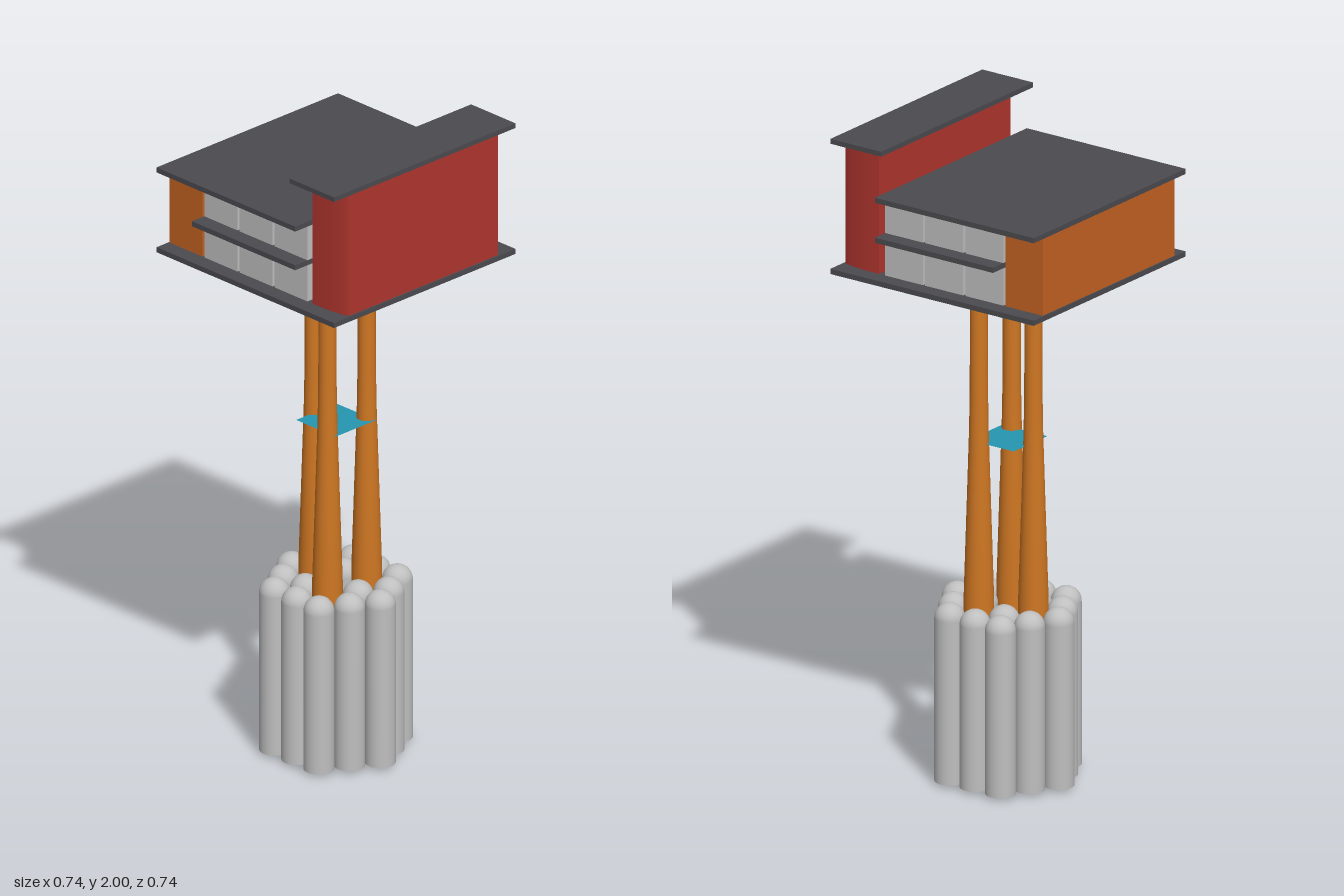
import * as THREE from 'three';

const mat = (name, color, extra = {}) => {
  const m = new THREE.MeshStandardMaterial({ color, ...extra });
  m.name = name;
  return m;
};

export function createModel() {
  const model = new THREE.Group();
  model.name = 'stiltHouse';

  const dark = mat('darkSlab', 0x4b4b50);
  const grey = mat('paleGrey', 0xbfbfbf);
  const wood = mat('stiltOrange', 0xcf7723);
  const wall = mat('wallOrange', 0xc46222);
  const red = mat('towerRed', 0xb0352e);
  const blue = mat('plateBlue', 0x2596b0, { side: THREE.DoubleSide });

  const add = (name, geometry, material, parent = model) => {
    const mesh = new THREE.Mesh(geometry, material);
    mesh.name = name;
    parent.add(mesh);
    return mesh;
  };
  // Box given by its limits on each axis, symmetric in z
  const block = (name, x0, x1, y0, y1, halfZ, material, parent) => {
    const mesh = add(name, new THREE.BoxGeometry(x1 - x0, y1 - y0, 2 * halfZ), material, parent);
    mesh.position.set((x0 + x1) / 2, (y0 + y1) / 2, 0);
    return mesh;
  };
  const group = (name) => {
    const g = new THREE.Group();
    g.name = name;
    model.add(g);
    return g;
  };

  // Hexagonal cluster: pitch in x, row spacing in z
  const P = 0.0924, R = 0.0455, ROW = 0.08, BASE = 0.01;
  const outer = [];
  for (const s of [-1, 1]) {
    outer.push([s * 2 * P, 0]);
    for (const t of [-1, 1]) outer.push([s * 1.5 * P, t * ROW]);
    for (const k of [-1, 0, 1]) outer.push([k * P, s * 2 * ROW]);
  }
  const innerPosts = [[P, 0], [-P / 2, ROW], [-P / 2, -ROW]];
  const stiltSpots = [[-P, 0], [P / 2, ROW], [P / 2, -ROW]];

  // Round-topped base columns
  const columnProfile = [new THREE.Vector2(R, BASE)];
  for (let i = 0; i <= 8; i++) {
    const a = (i / 8) * Math.PI / 2;
    columnProfile.push(new THREE.Vector2(i === 8 ? 0 : R * Math.cos(a), 0.515 + R * Math.sin(a)));
  }
  const columnGeo = new THREE.LatheGeometry(columnProfile, 24);
  const capGeo = new THREE.CircleGeometry(R, 24).rotateX(Math.PI / 2);
  const columns = group('baseColumns');
  for (const [x, z] of [...outer, ...innerPosts]) {
    add('column', columnGeo, grey, columns).position.set(x, 0, z);
    add('columnFoot', capGeo, grey, columns).position.set(x, BASE, z);
  }

  // Tapered stilts, straight in the upper half
  const stiltGeo = new THREE.LatheGeometry(
    [[R, BASE], [0.045, 0.56], [0.036, 0.85], [0.029, 1.08], [0.027, 1.2], [0.026, 1.585]]
      .map(([r, y]) => new THREE.Vector2(r, y)), 24);
  const stilts = group('stilts');
  for (const [x, z] of stiltSpots) {
    add('stilt', stiltGeo, wood, stilts).position.set(x, 0, z);
    add('stiltFoot', capGeo, wood, stilts).position.set(x, BASE, z);
  }

  // Thin triangular plate under the cluster (shape y becomes z)
  const tri = new THREE.Shape([[-0.08, 0.08], [0.0, -0.155], [0.155, 0.0]].map(([x, z]) => new THREE.Vector2(x, z)));
  add('footPlate', new THREE.ExtrudeGeometry(tri, { depth: 0.009, bevelEnabled: false })
    .rotateX(Math.PI / 2).translate(0, 0.009, 0), grey);

  // Thin brace plate between the stilts
  add('bracePlate', new THREE.PlaneGeometry(0.164, 0.164).rotateX(-Math.PI / 2), blue).position.y = 1.045;

  // Slabs
  block('floorSlab', -0.37, 0.37, 1.581, 1.597, 0.37, dark);
  block('mainRoof', -0.37, 0.208, 1.837, 1.853, 0.37, dark);
  block('balconySlab', -0.222, 0.208, 1.713, 1.729, 0.37, dark);
  block('towerRoof', 0.185, 0.37, 1.985, 2.0, 0.37, dark);

  // Solid side wing and two storeys of three bays, with narrow gaps
  block('sideWing', -0.366, -0.23, 1.597, 1.837, 0.32, wall);
  const bays = group('windowBays');
  for (const [y0, y1] of [[1.597, 1.713], [1.729, 1.837]])
    for (let i = 0; i < 3; i++) {
      const x = -0.222 + i * 0.146;
      block('windowBay', x, x + 0.138, y0, y1, 0.32, grey, bays);
    }

  // Tower with gently curved ends
  const t = new THREE.Shape();
  t.moveTo(0.23, -0.32);
  t.quadraticCurveTo(0.335, -0.32, 0.365, -0.303);
  t.lineTo(0.365, 0.303);
  t.quadraticCurveTo(0.335, 0.32, 0.23, 0.32);
  t.closePath();
  const towerGeo = new THREE.ExtrudeGeometry(t, { depth: 0.388, bevelEnabled: false, curveSegments: 10 })
    .rotateX(-Math.PI / 2);
  add('tower', towerGeo, red).position.y = 1.597;

  return model;
}
